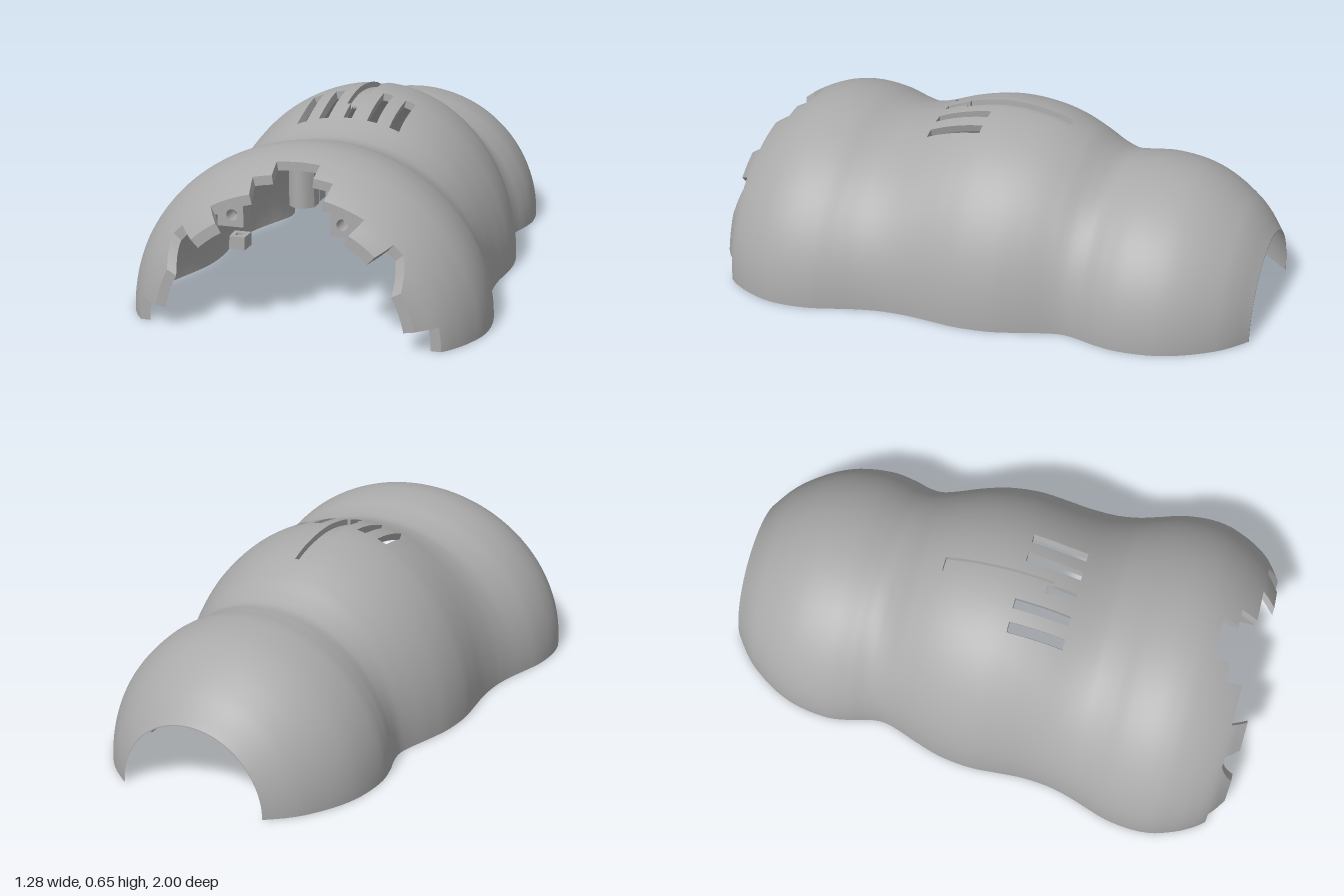
import * as THREE from 'three';

// Body profile along z: [z, half height, half width]
const PROFILE = [
  [-1, .283, .283], [-.95, .347, .347], [-.9, .395, .395], [-.8, .46, .46], [-.7, .499, .499],
  [-.57, .515, .515], [-.48, .508, .502], [-.42, .506, .485], [-.36, .536, .476], [-.3, .575, .488],
  [-.2, .621, .523], [-.1, .645, .552], [.02, .655, .565], [.12, .645, .559], [.22, .62, .552],
  [.32, .582, .557], [.38, .563, .568], [.43, .555, .581], [.5, .566, .604], [.58, .59, .628],
  [.68, .602, .64], [.76, .593, .634], [.82, .573, .615], [.88, .542, .588], [.95, .494, .538], [1, .45, .466],
];
// Stepped front edge on one side: [from angle, to angle, z at start, z at end]
const FRONT = [
  [0, 10, .95, .95], [10, 27.6, 1, 1], [27.6, 41, 1, .95], [41, 46, .95, .95],
  [46, 60, 1, 1], [60, 76, .945, .945], [76, 82.8, .88, .88], [82.8, 90, .82, .82],
];
const SLOTS = [[-.196, -.159], [-.111, -.074], [-.016, .016], [.074, .111], [.159, .196]];
const FRONT_START = .8, NOMINAL = .557, RAD = Math.PI / 180;

// Smooth cubic interpolation of a profile column
function profile(z, k) {
  const P = PROFILE, n = P.length;
  let i = 0;
  while (i < n - 2 && z > P[i + 1][0]) i++;
  const tangent = j => {
    const a = P[Math.max(j - 1, 0)], b = P[Math.min(j + 1, n - 1)];
    return (b[k] - a[k]) / (b[0] - a[0]);
  };
  const d = P[i + 1][0] - P[i][0], t = (z - P[i][0]) / d, t2 = t * t, t3 = t2 * t;
  return (2 * t3 - 3 * t2 + 1) * P[i][k] + (t3 - 2 * t2 + t) * d * tangent(i)
    + (3 * t2 - 2 * t3) * P[i + 1][k] + (t3 - t2) * d * tangent(i + 1);
}

// Point in the shell wall: depth 0 is the outside, 1 the inside
function point(a, z, depth) {
  const slope = (profile(z + .005, 1) - profile(z - .005, 1)) / .01;
  const taper = Math.min(1, .1 + (z + 1) * 6);
  const t = depth * .028 * taper * Math.sqrt(1 + Math.min(slope * slope, 1.2));
  return new THREE.Vector3((profile(z, 2) - t) * Math.cos(a), (profile(z, 1) - t) * Math.sin(a), z);
}

function normal(a, z, depth) {
  const e = .004;
  const da = point(a + e, z, depth).sub(point(a - e, z, depth));
  const dz = point(a, z + e, depth).sub(point(a, z - e, depth));
  return da.cross(dz).normalize();
}

// Front edge position at angle a, within the column whose middle is mid
function frontZ(a, mid) {
  const fold = v => Math.min(v, Math.PI - v) / RAD;
  const m = fold(mid), s = FRONT.find(f => m >= f[0] && m <= f[1]);
  return THREE.MathUtils.lerp(s[2], s[3], (fold(a) - s[0]) / (s[1] - s[0]));
}

// How deep the wall is cut at a place: 0 whole, 1 cut through
function cutDepth(a, z) {
  const x = NOMINAL * Math.cos(a);
  const from = i => (i === 2 ? .17 : .07);
  if (SLOTS.some((s, i) => x > s[0] && x < s[1] && z > from(i) && z < .28)) return 1;
  return Math.abs(x) < .03 && z > -.22 && z < .19 ? .75 : 0;
}

// Sorted steps that include every break exactly
function steps(from, to, size, breaks) {
  const edges = [from, ...breaks, to].sort((p, q) => p - q), out = [from];
  for (let i = 1; i < edges.length; i++) {
    const d = edges[i] - edges[i - 1], n = Math.max(1, Math.ceil(d / size));
    for (let j = 1; j <= n; j++) out.push(edges[i - 1] + d * j / n);
  }
  return out;
}

function shellGeometry() {
  const pos = [], nor = [];
  const push = (pts, normals) => [0, 1, 2, 0, 2, 3].forEach(i => {
    pos.push(...pts[i].toArray());
    nor.push(...normals[i].toArray());
  });
  const skin = (corners, depth, inward) => {
    const c = inward ? [...corners].reverse() : corners;
    push(c.map(([a, z]) => point(a, z, depth)),
      c.map(([a, z]) => normal(a, z, depth).multiplyScalar(inward ? -1 : 1)));
  };
  // Flat wall between two depths; d0 is the depth on the solid side
  const wall = (p, q, d0, d1) => {
    const pts = [point(...p, d0), point(...q, d0), point(...q, d1), point(...p, d1)];
    const n = pts[1].clone().sub(pts[0]).cross(pts[2].clone().sub(pts[0])).normalize();
    push(pts, [n, n, n, n]);
  };

  const angleBreaks = [Math.PI / 2];
  FRONT.slice(1).forEach(f => angleBreaks.push(f[0] * RAD, Math.PI - f[0] * RAD));
  [...SLOTS.flat(), -.03, .03].forEach(x => angleBreaks.push(Math.acos(x / NOMINAL)));
  const A = steps(0, Math.PI, 2.6 * RAD, angleBreaks);
  const Z = steps(-1, FRONT_START, .025, [-.22, .07, .17, .19, .28]);
  const body = Z.length - 1, rows = body + 7;
  const zAt = (k, a, mid) => k <= body ? Z[k]
    : THREE.MathUtils.lerp(FRONT_START, frontZ(a, mid), (k - body) / (rows - body));
  const depthAt = (i, k) => {
    if (i < 0 || k < 0 || i >= A.length - 1 || k >= rows) return 1;
    return k >= body ? 0 : cutDepth((A[i] + A[i + 1]) / 2, (Z[k] + Z[k + 1]) / 2);
  };

  for (let i = 0; i < A.length - 1; i++) {
    const a = A[i], b = A[i + 1], mid = (a + b) / 2;
    const stepsAside = (edge, other) => other >= 0 && other < A.length - 1
      && frontZ(edge, mid) > frontZ(edge, (A[other] + A[other + 1]) / 2) + .001;
    for (let k = 0; k < rows; k++) {
      const depth = depthAt(i, k);
      if (depth === 1) continue;
      const c = [[a, zAt(k, a, mid)], [b, zAt(k, b, mid)], [b, zAt(k + 1, b, mid)], [a, zAt(k + 1, a, mid)]];
      skin(c, depth, false);
      skin(c, 1, true);
      const sides = [[c[1], c[0], i, k - 1], [c[2], c[1], i + 1, k], [c[3], c[2], i, k + 1], [c[0], c[3], i - 1, k]];
      for (const [p, q, ni, nk] of sides) {
        let next = depthAt(ni, nk);
        if (k >= body && ni !== i && stepsAside(ni > i ? b : a, ni)) next = 1;
        if (next > depth) wall(p, q, depth, next);
      }
    }
  }
  const g = new THREE.BufferGeometry();
  g.setAttribute('position', new THREE.Float32BufferAttribute(pos, 3));
  g.setAttribute('normal', new THREE.Float32BufferAttribute(nor, 3));
  return g;
}

function polygon(points) {
  return new THREE.Shape(points.map(p => new THREE.Vector2(...p)));
}

export function createModel() {
  const model = new THREE.Group();
  model.name = 'shellCover';
  const grey = new THREE.MeshStandardMaterial({ color: 0xaaaaaa, side: THREE.DoubleSide });
  grey.name = 'grey plastic';
  const add = (name, geometry) => {
    const mesh = new THREE.Mesh(geometry, grey);
    mesh.name = name;
    model.add(mesh);
    return mesh;
  };

  add('shell', shellGeometry());

  for (const side of [1, -1]) {
    const label = side > 0 ? 'left' : 'right';

    // Screw boss behind the front edge
    const boss = polygon([[.154, .365], [.247, .365], [.247, .425], [.154, .462]].map(([x, y]) => [x * side, y]));
    boss.holes.push(new THREE.Path().absarc(.195 * side, .406, .02, 0, Math.PI * 2, true));
    add(label + 'ScrewBoss', new THREE.ExtrudeGeometry(boss, { depth: .07, bevelEnabled: false, curveSegments: 16 }))
      .position.z = .874;

    // Socket blocks along the lower rim
    [['Rear', .4, .495, -.61], ['Middle', .465, .542, .1]].forEach(([place, x0, x1, z]) => {
      const s = .038, cx = x0 + .035, h = .014;
      const block = polygon([[x0, -s], [x1, -s], [x1, s], [x0, s]].map(([x, y]) => [x * side, y]));
      block.holes.push(polygon([[cx - h, -h], [cx - h, h], [cx + h, h], [cx + h, -h]].map(([x, y]) => [x * side, y])));
      const g = new THREE.ExtrudeGeometry(block, { depth: .052, bevelEnabled: false });
      g.rotateX(-Math.PI / 2);
      add(label + place + 'Socket', g).position.set(0, .001, z);
    });
  }

  // Hanging post with a rounded front, under the front notch
  const post = new THREE.Shape();
  post.moveTo(-.045, .08);
  post.lineTo(-.045, .03);
  post.quadraticCurveTo(0, -.03, .045, .03);
  post.lineTo(.045, .08);
  const postGeometry = new THREE.ExtrudeGeometry(post, { depth: .14, bevelEnabled: false, curveSegments: 12 });
  postGeometry.rotateX(-Math.PI / 2);
  add('hangingPost', postGeometry).position.set(0, .41, .82);

  return model;
}
